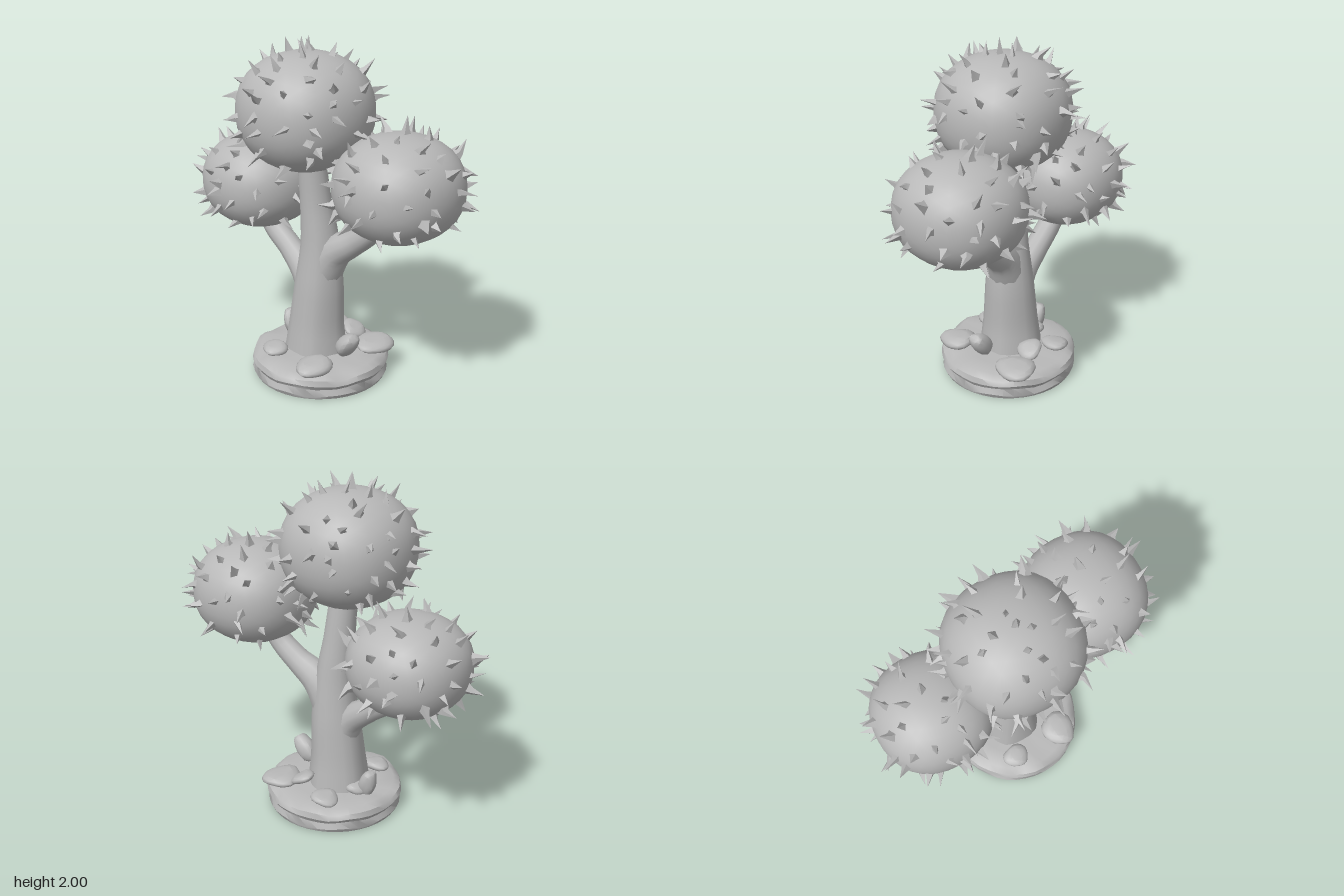
import * as THREE from 'three';
import { mergeGeometries, mergeVertices, toCreasedNormals } from 'three/addons/utils/BufferGeometryUtils.js';

const V = (x, y, z) => new THREE.Vector3(x, y, z);

// Small seeded random generator
function makeRandom(seed) {
  return () => {
    seed = (seed * 16807) % 2147483647;
    return seed / 2147483647;
  };
}

// Weld, then smooth everything softer than the crease angle
function finish(geo, crease) {
  geo.deleteAttribute('uv');
  geo.deleteAttribute('normal');
  return toCreasedNormals(mergeVertices(geo, 1e-4), crease);
}

function displace(geo, rule) {
  const pos = geo.attributes.position;
  const p = V();
  for (let i = 0; i < pos.count; i++) {
    rule(p.fromBufferAttribute(pos, i));
    pos.setXYZ(i, p.x, p.y, p.z);
  }
  return geo;
}

// Tapering limb: each station is [x, y, z, radius]
function limb(stations, sides = 12, ribs = 0) {
  const curve = new THREE.CatmullRomCurve3(stations.map(s => V(s[0], s[1], s[2])));
  const steps = (stations.length - 1) * 4;
  const verts = [], index = [];
  for (let i = 0; i <= steps; i++) {
    const t = i / steps;
    const k = Math.min(Math.floor(t * (stations.length - 1)), stations.length - 2);
    const f = t * (stations.length - 1) - k;
    const r = THREE.MathUtils.lerp(stations[k][3], stations[k + 1][3], f);
    const c = curve.getPoint(t), tan = curve.getTangent(t);
    const v = tan.clone().cross(V(1, 0, 0)).normalize();
    const u = v.clone().cross(tan).normalize();
    for (let j = 0; j < sides; j++) {
      const a = j / sides * Math.PI * 2;
      const rr = r * (1 + ribs * (1 - t) * Math.cos(a * 5));
      const p = c.clone().addScaledVector(u, rr * Math.cos(a)).addScaledVector(v, rr * Math.sin(a));
      verts.push(p.x, p.y, p.z);
      if (i < steps) {
        const n = (j + 1) % sides, o = i * sides;
        index.push(o + j, o + n, o + sides + n, o + j, o + sides + n, o + sides + j);
      }
    }
  }
  const geo = new THREE.BufferGeometry();
  geo.setAttribute('position', new THREE.Float32BufferAttribute(verts, 3));
  geo.setIndex(index);
  geo.computeVertexNormals();
  return geo;
}

// Rounded leaf ball covered in bent, pointed leaf tips
function canopy(center, radii, count, seed, topTip) {
  const rnd = makeRandom(seed);
  const surface = d => {
    const n = Math.pow(Math.abs(d.x) ** 2.25 + Math.abs(d.y) ** 2.25 + Math.abs(d.z) ** 2.25, -1 / 2.25);
    return V(d.x * n * radii.x, d.y * n * radii.y, d.z * n * radii.z);
  };
  const ball = displace(new THREE.IcosahedronGeometry(1, 5), p => p.copy(surface(p.clone().normalize())));
  const parts = [finish(ball, 1)];

  const addTip = (dir, length, width, lean) => {
    const root = surface(dir);
    const out = root.clone().divide(radii).divide(radii).normalize();
    const cone = new THREE.ConeGeometry(width, length + 0.05, 4, 2, true);
    cone.translate(0, (length + 0.05) / 2 - 0.05, 0);
    displace(cone, p => {
      const h = Math.max(0, p.y / length);
      if (h > 0.05 && h < 0.95) { p.x *= 0.8; p.z *= 0.8; }
      p.z *= 0.75;
      p.x += lean * h * h;
    });
    const q = new THREE.Quaternion().setFromUnitVectors(V(0, 1, 0), out);
    q.multiply(new THREE.Quaternion().setFromAxisAngle(V(0, 1, 0), rnd() * Math.PI * 2));
    cone.applyQuaternion(q).translate(root.x, root.y, root.z);
    parts.push(finish(cone, 0.9));
  };

  for (let i = 0; i < count; i++) {
    const y = 1 - 1.72 * (i + 0.5) / count;
    const a = i * 2.39996 + (rnd() - 0.5) * 0.5;
    const s = Math.sqrt(1 - y * y);
    const dir = V(s * Math.cos(a), y + (rnd() - 0.5) * 0.1, s * Math.sin(a)).normalize();
    addTip(dir, 0.05 + rnd() * 0.045, 0.045 + rnd() * 0.02, (rnd() - 0.5) * 0.1);
  }
  if (topTip) addTip(V(-0.06, 1, 0).normalize(), topTip, 0.05, 0);
  return mergeGeometries(parts).translate(center.x, center.y, center.z);
}

// Faceted, softly rounded pebble
function pebble(seed) {
  const rnd = makeRandom(seed);
  const ph = rnd() * 6;
  const geo = displace(new THREE.IcosahedronGeometry(1, 2), p => {
    p.multiplyScalar(1 + 0.07 * Math.sin(p.x * 3 + ph) + 0.06 * Math.sin(p.z * 4 + p.y * 2 + ph));
    p.y = THREE.MathUtils.clamp(p.y, -0.85, 0.85);
  });
  return finish(geo, 0.6);
}

export function createModel() {
  const model = new THREE.Group();
  model.name = 'tree';
  const clay = new THREE.MeshStandardMaterial({ color: 0xb8b8b8 });
  clay.name = 'grey clay';
  const add = (name, geo) => {
    const mesh = new THREE.Mesh(geo, clay);
    mesh.name = name;
    model.add(mesh);
    return mesh;
  };

  // Round base with a worn, uneven rim
  const profile = [[0, 0], [0.385, 0], [0.395, 0.02], [0.385, 0.06], [0.4, 0.085],
    [0.39, 0.115], [0.35, 0.138], [0.25, 0.14], [0, 0.145]].map(p => new THREE.Vector2(...p));
  const base = displace(new THREE.LatheGeometry(profile, 40), p => {
    if (p.y < 0.01) return;
    const a = Math.atan2(p.z, p.x), r = Math.hypot(p.x, p.z);
    const w = r > 0.3 ? Math.sin(a * 7 + p.y * 30) * 0.008 + Math.sin(a * 12) * 0.005 : 0;
    p.x *= 1 + w;
    p.z *= 1 + w;
    p.y += w * 0.7;
  });
  add('base', finish(base, 0.7));

  // Trunk and the two side branches
  add('trunk', limb([[0, 0.1, -0.03, 0.185], [0, 0.3, -0.025, 0.16], [0.005, 0.55, -0.01, 0.142],
    [0.005, 0.8, -0.005, 0.112], [-0.01, 1.05, -0.025, 0.09], [-0.04, 1.4, -0.045, 0.075]], 20, 0.04));
  add('frontBranch', limb([[0.01, 0.62, 0.01, 0.115], [0.03, 0.76, 0.09, 0.1],
    [0.06, 0.86, 0.23, 0.075], [0.08, 0.96, 0.35, 0.066], [0.1, 1.12, 0.45, 0.065]]));
  add('backBranch', limb([[0, 0.45, -0.05, 0.1], [0, 0.58, -0.13, 0.085],
    [0, 0.69, -0.27, 0.07], [-0.01, 0.79, -0.4, 0.068], [-0.01, 0.95, -0.5, 0.066]]));

  // Spiky leaf balls
  add('topCanopy', canopy(V(-0.07, 1.585, -0.04), V(0.37, 0.325, 0.37), 78, 11, 0.09));
  add('frontCanopy', canopy(V(0.11, 1.245, 0.51), V(0.35, 0.29, 0.345), 66, 37));
  add('backCanopy', canopy(V(-0.01, 1.055, -0.525), V(0.335, 0.275, 0.335), 66, 91));

  // Stones on the base: position, half sizes, tilt about x and z
  const stones = [
    [[-0.01, 0.24, 0.24], [0.06, 0.1, 0.055], 0.75, 0],
    [[0.0, 0.2, -0.26], [0.055, 0.095, 0.05], -0.3, 0],
    [[0.02, 0.165, -0.2], [0.08, 0.035, 0.06], -0.2, 0],
    [[0.23, 0.16, 0.21], [0.12, 0.038, 0.11], 0.05, 0],
    [[-0.23, 0.165, 0.2], [0.11, 0.042, 0.1], 0, 0.08],
    [[0.21, 0.205, 0.06], [0.07, 0.03, 0.075], 0.45, -0.1],
    [[0.24, 0.165, -0.14], [0.08, 0.03, 0.08], -0.15, 0],
    [[-0.25, 0.16, -0.12], [0.07, 0.032, 0.08], 0, 0.1],
  ];
  stones.forEach(([pos, size, tiltX, tiltZ], i) => {
    const stone = add('stone' + (i + 1), pebble(101 + i * 57));
    stone.position.set(...pos);
    stone.scale.set(...size);
    stone.rotation.set(tiltX, 0, tiltZ);
  });

  return model;
}
